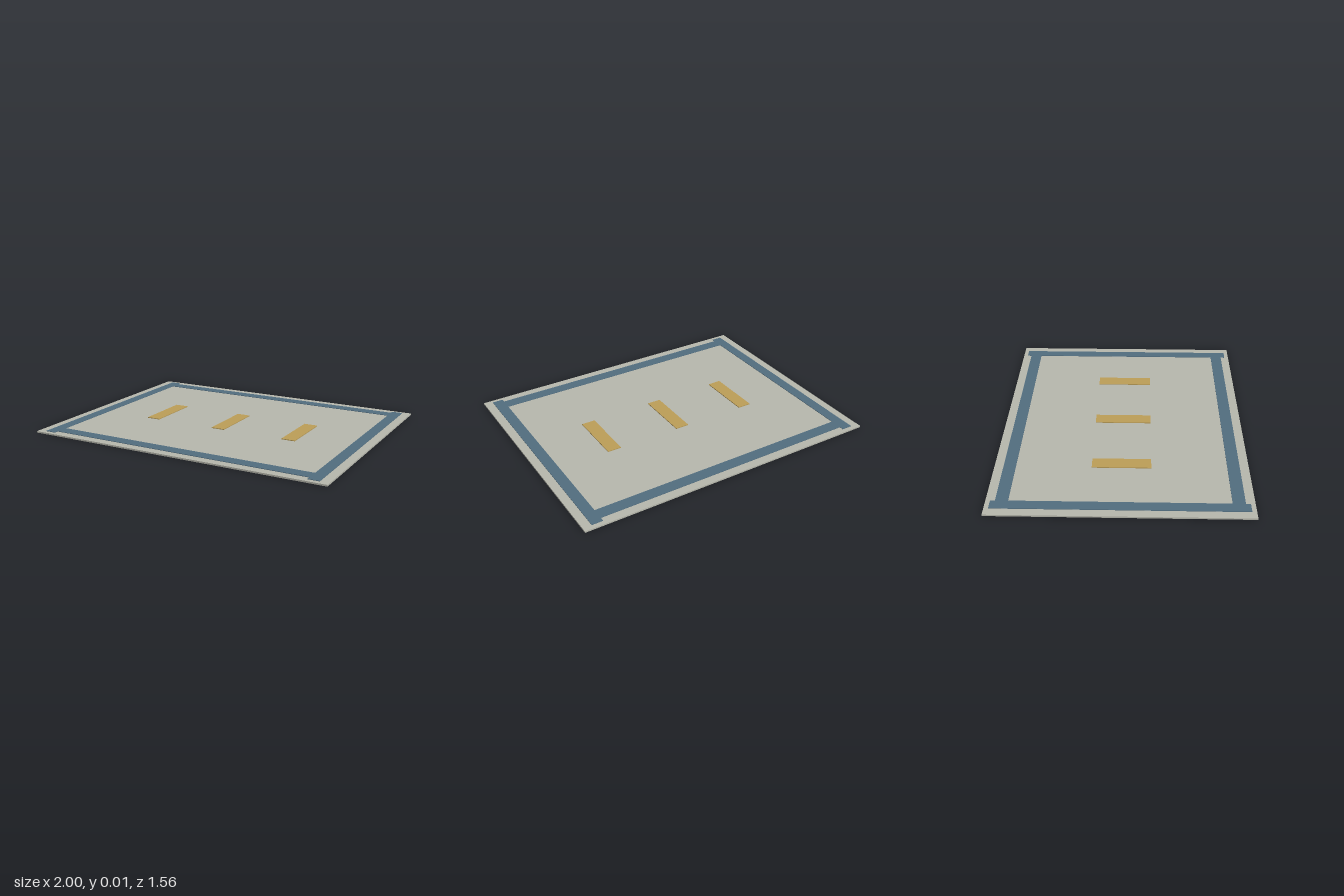
import * as THREE from 'three';

export function createModel() {
  const model = new THREE.Group();
  const stone = new THREE.MeshStandardMaterial({ color: 0xb8b9ae });
  const blue = new THREE.MeshStandardMaterial({ color: 0x526e80 });
  const ochre = new THREE.MeshStandardMaterial({ color: 0xbd9f58 });

  // Box resting with its underside at height y
  function slab(name, material, w, h, d, x, y, z) {
    const mesh = new THREE.Mesh(new THREE.BoxGeometry(w, h, d), material);
    mesh.name = name;
    mesh.position.set(x, y + h / 2, z);
    model.add(mesh);
  }

  // Thin base plate
  const top = 0.01;
  slab('basePlate', stone, 2, top, 1.556, 0, 0, 0);

  // Border: long side bands with cross bands fitted between them
  for (const s of [-1, 1]) {
    slab(s > 0 ? 'leftBorder' : 'rightBorder', blue, 0.07, 0.003, 1.5, s * 0.91, top, 0);
    slab(s > 0 ? 'frontBorder' : 'backBorder', blue, 1.75, 0.003, 0.076, 0, top, s * 0.684);
  }

  // Row of centre markings
  [-0.5, 0, 0.5].forEach((x, i) =>
    slab(`centreMarking${i + 1}`, ochre, 0.09, 0.005, 0.364, x, top, 0));

  return model;
}
